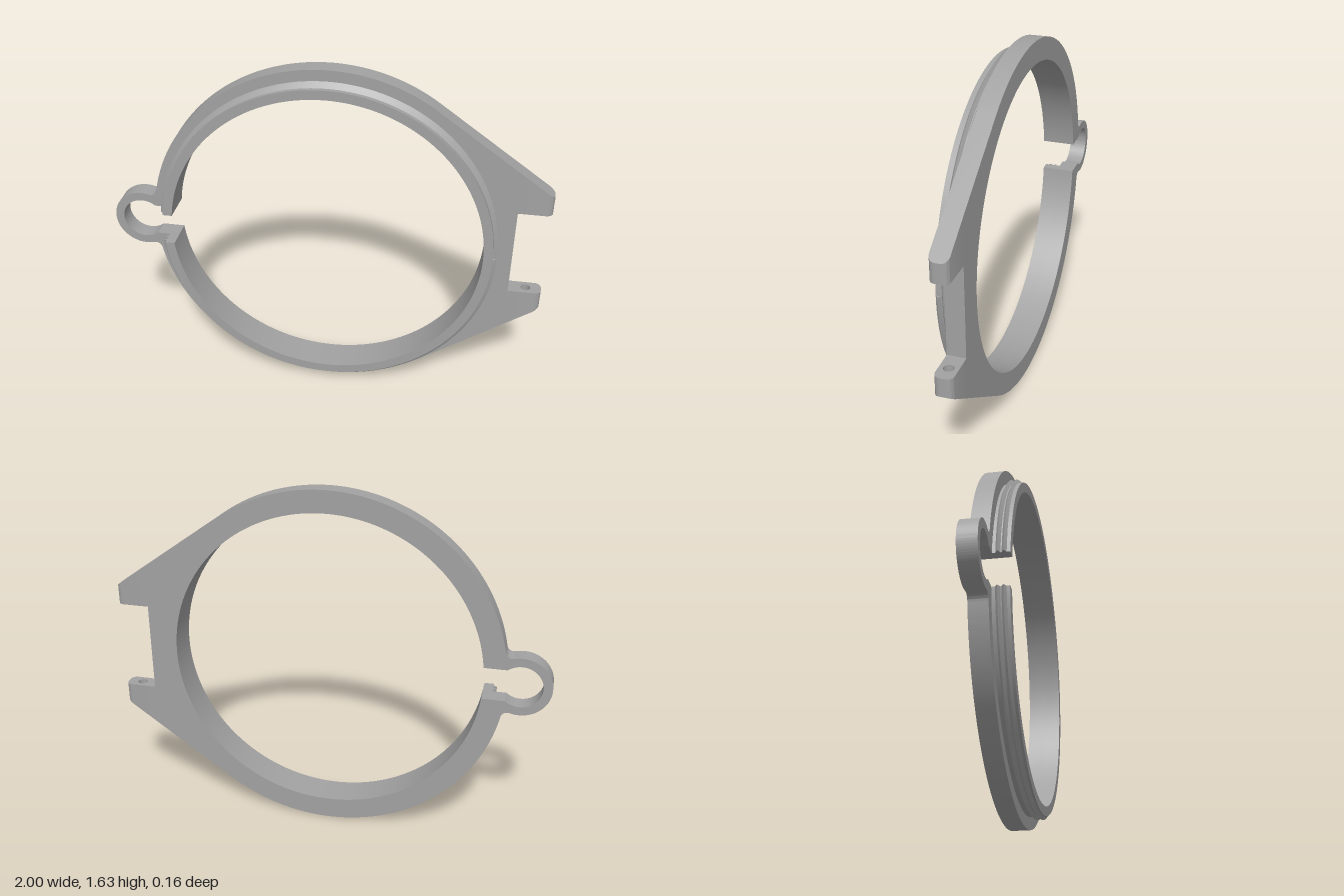
import * as THREE from 'three';
import { toCreasedNormals } from 'three/addons/utils/BufferGeometryUtils.js';

const CX = 0.01, CY = 0.815;            // ring centre
const BACK = -0.078, STEP = 0.004, FRONT = 0.078;
const R_IN = 0.712, R_OUT = 0.813, R_COLLAR = 0.755, R_THREAD = 0.771;
const GAP = 0.075;                      // half height of the split
const TANGENT = 0.955;                  // angle where the lug leaves the ring
const SLOT_X = 0.85, END_X = 1, EAR_Y = 0.208;
const LOOP_X = -0.863, LOOP_OUT = 0.137, LOOP_IN = 0.097, FILLET = 0.03;

// Sloping edge of the lug, measured from the ring centre height
const lugEdge = x => (R_OUT - Math.cos(TANGENT) * (x - CX)) / Math.sin(TANGENT);
const gapAngle = r => Math.asin(GAP / r);

function extrude(shape, depth, z) {
  const g = new THREE.ExtrudeGeometry(shape, { depth, bevelEnabled: false, curveSegments: 96 });
  g.translate(0, 0, z);
  return toCreasedNormals(g, 0.5);
}

// Ring, spring loop and lug in one outline, with the split as its hole
function plateShape() {
  const d = CX - LOOP_X, a = R_OUT + FILLET, b = LOOP_OUT + FILLET;
  const u = (d * d + a * a - b * b) / (2 * d), h = Math.sqrt(a * a - u * u);
  const ringA = Math.atan2(h, u), loopA = Math.atan2(h, d - u);
  const PI = Math.PI, s = new THREE.Shape();
  s.moveTo(SLOT_X, -lugEdge(SLOT_X));
  s.lineTo(SLOT_X, lugEdge(SLOT_X));
  s.absarc(CX, 0, R_OUT, TANGENT, PI - ringA, false);
  s.absarc(CX - u, h, FILLET, -ringA, loopA - PI, true);
  s.absarc(LOOP_X, 0, LOOP_OUT, loopA, 2 * PI - loopA, false);
  s.absarc(CX - u, -h, FILLET, PI - loopA, ringA, true);
  s.absarc(CX, 0, R_OUT, PI + ringA, 2 * PI - TANGENT, false);
  s.closePath();

  const hole = new THREE.Path(), inner = gapAngle(R_IN), loop = gapAngle(LOOP_IN);
  hole.absarc(CX, 0, R_IN, PI + inner, 3 * PI - inner, false);
  hole.absarc(LOOP_X, 0, LOOP_IN, loop, 2 * PI - loop, false);
  hole.closePath();
  s.holes.push(hole);
  return s;
}

// Split ring that carries the thread
function collarShape() {
  const o = gapAngle(R_COLLAR), i = gapAngle(R_IN), s = new THREE.Shape();
  s.absarc(CX, 0, R_COLLAR, Math.PI + o, 3 * Math.PI - o, false);
  s.absarc(CX, 0, R_IN, 3 * Math.PI - i, Math.PI + i, true);
  s.closePath();
  return s;
}

// Triangular ridge swept along a helix between two angles
function threadGeometry(from, to) {
  const pitch = 0.025, z0 = 0.016, half = 0.0115, pos = [];
  const n = Math.ceil((to - from) * 28);
  const section = t => {
    const z = z0 + pitch * t / (2 * Math.PI);
    return [[R_COLLAR - 0.002, -half], [R_THREAD, 0], [R_COLLAR - 0.002, half]]
      .map(([r, dz]) => [CX + r * Math.cos(t), r * Math.sin(t), z + dz]);
  };
  const tri = (...p) => p.forEach(q => pos.push(...q));
  for (let i = 0; i < n; i++) {
    const p = section(from + (to - from) * i / n);
    const q = section(from + (to - from) * (i + 1) / n);
    for (let k = 0; k < 2; k++) {
      tri(p[k], q[k], q[k + 1]);
      tri(p[k], q[k + 1], p[k + 1]);
    }
    if (i === 0) tri(p[0], p[1], p[2]);
    if (i === n - 1) tri(q[0], q[2], q[1]);
  }
  const g = new THREE.BufferGeometry();
  g.setAttribute('position', new THREE.Float32BufferAttribute(pos, 3));
  return toCreasedNormals(g, 0.5);
}

// Ear seen from above: rounded free end, centred on the plate thickness
function earShape(withHole) {
  const w = (STEP - BACK) / 2, r = 0.03, s = new THREE.Shape();
  s.moveTo(SLOT_X, w);
  s.lineTo(SLOT_X, -w);
  s.absarc(END_X - r, -w + r, r, -Math.PI / 2, 0, false);
  s.absarc(END_X - r, w - r, r, 0, Math.PI / 2, false);
  s.closePath();
  if (withHole) {
    const hole = new THREE.Path();
    hole.absarc(0.93, 0, 0.022, 0, Math.PI * 2, true);
    s.holes.push(hole);
  }
  return s;
}

function earLayer(withHole, y, depth) {
  const g = new THREE.ExtrudeGeometry(earShape(withHole), { depth, bevelEnabled: false, curveSegments: 16 });
  g.rotateX(-Math.PI / 2).translate(0, y, 0);
  return g;
}

export function createModel() {
  const model = new THREE.Group();
  model.name = 'threadedClampRing';
  const grey = new THREE.MeshStandardMaterial({ color: 0xa2a2a2 });
  grey.name = 'grey';
  const add = (parent, name, geometry) => {
    const m = new THREE.Mesh(geometry, grey);
    m.name = name;
    parent.add(m);
  };

  const ring = new THREE.Group();
  ring.name = 'ring';
  ring.position.y = CY;
  model.add(ring);
  add(ring, 'plate', extrude(plateShape(), STEP - BACK, BACK));
  add(ring, 'collar', extrude(collarShape(), FRONT - STEP, STEP));

  // Two turns of thread, interrupted by the split
  const g = gapAngle(R_COLLAR), PI = Math.PI;
  [[0, PI - g], [PI + g, 3 * PI - g], [3 * PI + g, 4 * PI]]
    .forEach(([a, b]) => add(ring, 'thread', threadGeometry(a, b)));

  // Ears with blind pin holes; the lower one is the upper turned over
  const holeDepth = 0.06, capY = EAR_Y + holeDepth;
  const base = toCreasedNormals(earLayer(true, EAR_Y, holeDepth), 0.5);
  const cap = earLayer(false, capY, 0.2), p = cap.attributes.position;
  for (let i = 0; i < p.count; i++) {
    if (p.getY(i) > capY + 0.1) p.setY(i, lugEdge(p.getX(i)));
  }
  const capSmooth = toCreasedNormals(cap, 0.5);
  ['upperEar', 'lowerEar'].forEach((name, i) => {
    const ear = new THREE.Group();
    ear.name = name;
    ear.position.z = (STEP + BACK) / 2;
    ear.rotation.x = i * PI;
    add(ear, 'earBase', base);
    add(ear, 'earCap', capSmooth);
    ring.add(ear);
  });
  return model;
}
